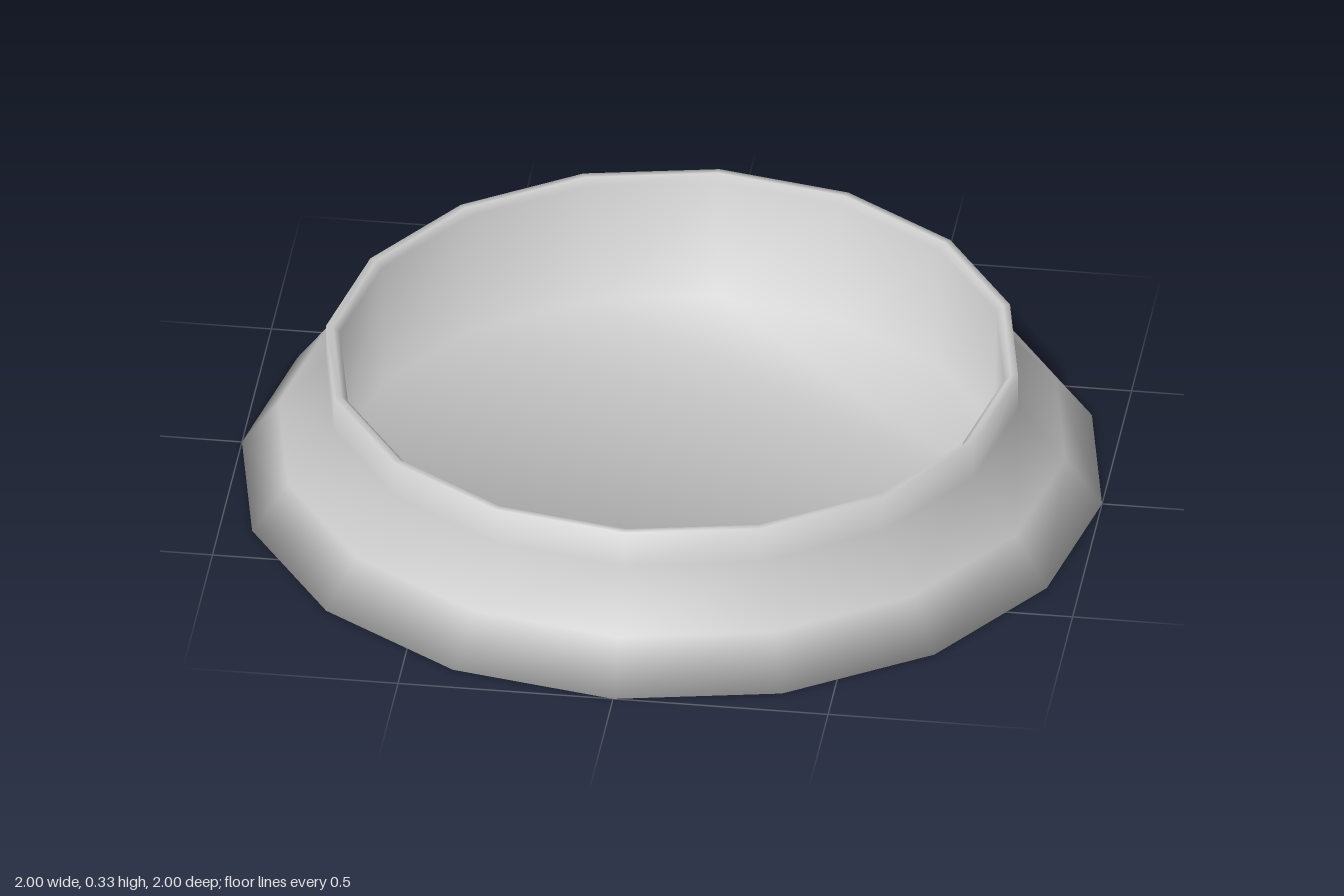
import * as THREE from 'three';

const SIDES = 16;

// Turns a profile of [radius, height] into a smooth closed solid whose two ends are flat polygons.
function turnedSolid(profile, sides) {
  const positions = [], normals = [], index = [];
  const last = profile.length - 1;

  // Unit normal (radial, vertical) of the band between two profile points
  const bandNormal = (a, b) =>
    new THREE.Vector2(b[1] - a[1], a[0] - b[0]).normalize();

  profile.forEach((point, i) => {
    const before = i > 0 ? profile[i - 1] : [0, point[1]];
    const after = i < last ? profile[i + 1] : [0, point[1]];
    const n = bandNormal(before, point).add(bandNormal(point, after)).normalize();
    for (let j = 0; j < sides; j++) {
      const a = (j / sides) * Math.PI * 2;
      const c = Math.cos(a), s = Math.sin(a);
      positions.push(point[0] * c, point[1], point[0] * s);
      normals.push(n.x * c, n.y, n.x * s);
    }
  });

  // Bands between neighbouring rings
  for (let i = 0; i < last; i++) {
    for (let j = 0; j < sides; j++) {
      const k = (j + 1) % sides;
      const a = i * sides + j, b = i * sides + k;
      index.push(a, a + sides, b, b, a + sides, b + sides);
    }
  }

  // Flat underside and flat floor
  const top = last * sides;
  for (let j = 1; j < sides - 1; j++) {
    index.push(0, j, j + 1);
    index.push(top, top + j + 1, top + j);
  }

  const geometry = new THREE.BufferGeometry();
  geometry.setAttribute('position', new THREE.Float32BufferAttribute(positions, 3));
  geometry.setAttribute('normal', new THREE.Float32BufferAttribute(normals, 3));
  geometry.setIndex(index);
  return geometry;
}

export function createModel() {
  const group = new THREE.Group();
  group.name = 'roundDish';

  const profile = [
    [1.0, 0], [0.915, 0.115], [0.805, 0.24],     // flared skirt
    [0.805, 0.33], [0.788, 0.33], [0.772, 0.315], // upright neck and thin bevelled rim
    [0.77, 0.005],                               // deep inner wall down to a very thin floor
  ];
  const dish = new THREE.Mesh(
    turnedSolid(profile, SIDES),
    new THREE.MeshStandardMaterial({ color: 0xcccccc })
  );
  dish.name = 'dishBody';
  group.add(dish);

  return group;
}
